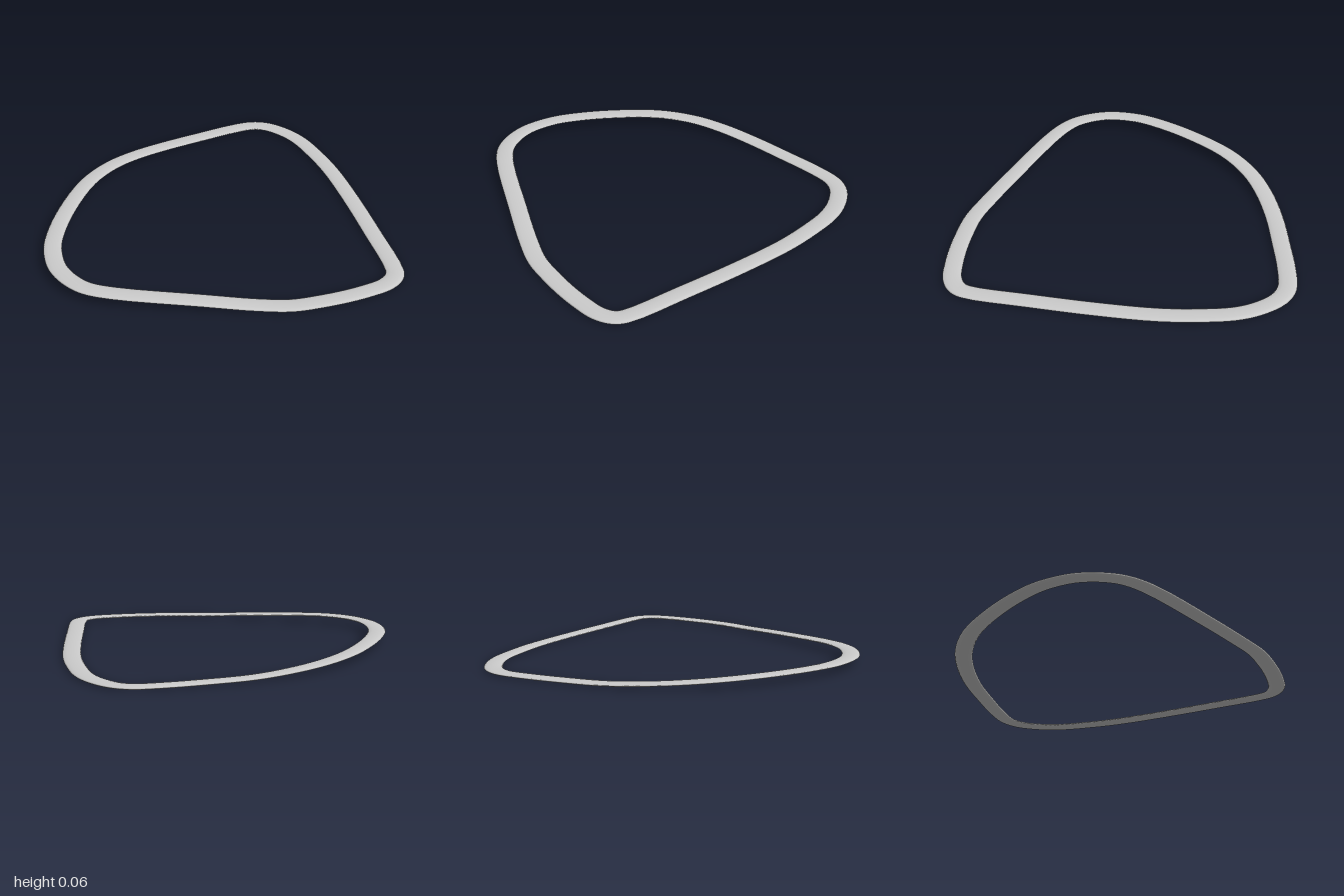
import * as THREE from 'three';

// Centreline of the ring seen from above: x, z
const centreline = [
  [-0.947, 0.14], [-0.929, 0.01], [-0.885, -0.11], [-0.765, -0.325], [-0.568, -0.58],
  [-0.378, -0.728], [-0.193, -0.812], [0.035, -0.873], [0.303, -0.91], [0.508, -0.932],
  [0.672, -0.93], [0.765, -0.883], [0.85, -0.773], [0.903, -0.645], [0.933, -0.45],
  [0.946, -0.24], [0.931, 0.08], [0.896, 0.455], [0.853, 0.812], [0.819, 0.868],
  [0.745, 0.908], [0.631, 0.924], [0.5, 0.929], [0.35, 0.922], [0.19, 0.902],
  [0.015, 0.842], [-0.275, 0.72], [-0.705, 0.527], [-0.84, 0.432], [-0.908, 0.328],
  [-0.942, 0.222],
];

const halfWidth = 0.053;
const halfThickness = 0.009;
const sides = 12;
const steps = centreline.length * 4;

// The right side lies flat; the band lifts smoothly towards the left
const heightAt = (x) => 0.01 + 0.038 * (1 - THREE.MathUtils.smoothstep(x, -0.7, 0.2));

// Sweep a thin oval section along the closed centreline
function bandGeometry() {
  const curve = new THREE.CatmullRomCurve3(
    centreline.map(([x, z]) => new THREE.Vector3(x, heightAt(x) - 0.001, z)), true);
  const positions = [], index = [];
  for (let i = 0; i < steps; i++) {
    const p = curve.getPoint(i / steps);
    const t = curve.getTangent(i / steps);
    const outward = new THREE.Vector3(t.z, 0, -t.x).normalize();
    for (let j = 0; j < sides; j++) {
      const angle = (j / sides) * Math.PI * 2;
      const v = p.clone().addScaledVector(outward, halfWidth * Math.cos(angle));
      positions.push(v.x, v.y + halfThickness * Math.sin(angle), v.z);
      const a = i * sides + j, b = i * sides + (j + 1) % sides;
      const c = ((i + 1) % steps) * sides + j, d = ((i + 1) % steps) * sides + (j + 1) % sides;
      index.push(a, b, c, b, d, c);
    }
  }
  const geometry = new THREE.BufferGeometry();
  geometry.setAttribute('position', new THREE.Float32BufferAttribute(positions, 3));
  geometry.setIndex(index);
  geometry.computeVertexNormals();
  return geometry;
}

export function createModel() {
  const group = new THREE.Group();
  group.name = 'trimRing';
  const band = new THREE.Mesh(bandGeometry(), new THREE.MeshStandardMaterial({ color: 0xcccccc }));
  band.name = 'curvedBand';
  group.add(band);
  return group;
}
